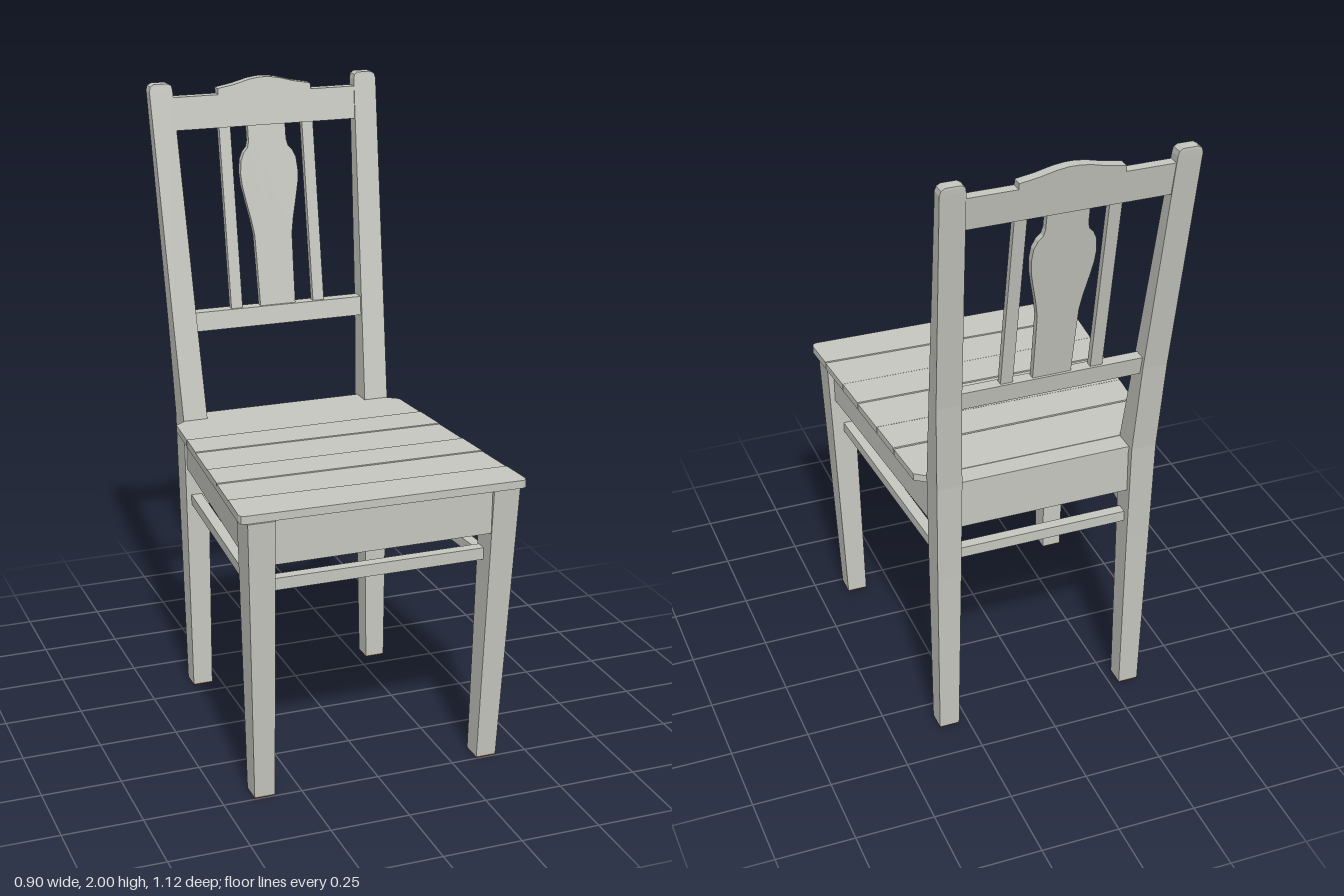
import * as THREE from 'three';

const paint = new THREE.MeshStandardMaterial({ color: 0xc6c6c0 });
paint.name = 'grey paint';
const wood = new THREE.MeshStandardMaterial({ color: 0x84603c });
wood.name = 'bare wood';

export function createModel() {
  const root = new THREE.Group();
  root.name = 'chair';

  function add(name, geometry, material = paint) {
    const mesh = new THREE.Mesh(geometry, material);
    mesh.name = name;
    root.add(mesh);
    return mesh;
  }

  // Four-sided post through sections [y, x0, x1, z0, z1]; side = -1 mirrors it
  function post(sections, side) {
    const loops = sections.map(([y, a, b, z0, z1]) => {
      const x0 = Math.min(a * side, b * side), x1 = Math.max(a * side, b * side);
      return [[x0, y, z0], [x0, y, z1], [x1, y, z1], [x1, y, z0]];
    });
    const pos = [];
    const quad = (a, b, c, d) => pos.push(...a, ...b, ...c, ...a, ...c, ...d);
    for (let s = 0; s < loops.length - 1; s++) {
      const lo = loops[s], hi = loops[s + 1];
      for (let i = 0; i < 4; i++) {
        const j = (i + 1) % 4;
        quad(lo[i], lo[j], hi[j], hi[i]);
      }
    }
    const first = loops[0], last = loops[loops.length - 1];
    quad(first[3], first[2], first[1], first[0]);
    quad(...last);
    const geometry = new THREE.BufferGeometry();
    geometry.setAttribute('position', new THREE.Float32BufferAttribute(pos, 3));
    geometry.computeVertexNormals();
    return geometry;
  }

  // Flat slab with an [x, z] outline between heights y0 and y1
  function slab(points, y0, y1) {
    const shape = new THREE.Shape(points.map(([x, z]) => new THREE.Vector2(x, -z)));
    const geometry = new THREE.ExtrudeGeometry(shape, { depth: y1 - y0, bevelEnabled: false });
    return geometry.rotateX(-Math.PI / 2).translate(0, y0, 0);
  }
  const rect = (w, z0, z1) => [[-w, z0], [w, z0], [w, z1], [-w, z1]];

  // Upright board with an [x, y] outline, leaned back with the posts
  function backBoard(points, thickness) {
    const shape = new THREE.Shape(points.map(([x, y]) => new THREE.Vector2(x, y)));
    const geometry = new THREE.ExtrudeGeometry(shape, { depth: thickness, bevelEnabled: false });
    const p = geometry.attributes.position;
    for (let i = 0; i < p.count; i++) {
      p.setZ(i, p.getZ(i) - thickness / 2 - 0.41 - 0.178 * (p.getY(i) - 1.25));
    }
    geometry.computeVertexNormals();
    return geometry;
  }

  // Legs, side rails and side stretchers
  for (const side of [-1, 1]) {
    const label = side > 0 ? 'left' : 'right';
    add(label + 'FrontLeg', post([
      [0.004, 0.335, 0.40, 0.425, 0.495],
      [0.915, 0.345, 0.43, 0.45, 0.55],
    ], side));
    add(label + 'BackPost', post([
      [0.004, 0.28, 0.345, -0.37, -0.305],
      [0.6, 0.276, 0.352, -0.395, -0.314],
      [0.94, 0.275, 0.355, -0.41, -0.32],
      [1.24, 0.285, 0.364, -0.442, -0.378],
      [1.975, 0.308, 0.384, -0.558, -0.519],
      [1.99, 0.311, 0.38, -0.56, -0.522],
      [1.997, 0.322, 0.368, -0.56, -0.523],
    ], side));
    add(label + 'FrontFoot', post([[0, 0.335, 0.40, 0.425, 0.495], [0.004, 0.335, 0.40, 0.425, 0.495]], side), wood);
    add(label + 'BackFoot', post([[0, 0.28, 0.345, -0.37, -0.305], [0.004, 0.28, 0.345, -0.37, -0.305]], side), wood);

    // Strip running front to back, following the seat taper
    const strip = (outFront, outBack, t) => [
      [side * outFront, 0.46], [side * (outFront - t), 0.46],
      [side * (outBack - t), -0.325], [side * outBack, -0.325],
    ];
    add(label + 'Rail', slab(strip(0.41, 0.347, 0.03), 0.775, 0.915));
    add(label + 'RailInside', slab(strip(0.38, 0.317, 0.003), 0.776, 0.915), wood);
    add(label + 'Stretcher', slab(strip(0.385, 0.335, 0.035), 0.65, 0.683));
  }

  // Front and back rails with unpainted inner faces, and cross stretchers
  add('frontRail', slab(rect(0.36, 0.505, 0.538), 0.775, 0.915));
  add('frontRailInside', slab(rect(0.345, 0.502, 0.505), 0.776, 0.915), wood);
  add('backRail', slab(rect(0.285, -0.385, -0.355), 0.775, 0.915));
  add('backRailInside', slab(rect(0.275, -0.355, -0.352), 0.776, 0.915), wood);
  add('frontStretcher', slab(rect(0.345, 0.455, 0.49), 0.672, 0.71));
  add('backStretcher', slab(rect(0.285, -0.37, -0.335), 0.65, 0.685));

  // Seat planks: slightly uneven seams given as z at the right and left edge
  const halfWidth = z => 0.41 + 0.0747 * z;
  const seams = [[-0.295, -0.295], [-0.143, -0.142], [-0.02, -0.008], [0.135, 0.147],
    [0.263, 0.275], [0.40, 0.425], [0.545, 0.56]];
  const gap = 0.002;
  for (let i = 0; i < 6; i++) {
    const [r0, l0] = seams[i].map(z => z + gap), [r1, l1] = seams[i + 1].map(z => z - gap);
    const outline = [[-halfWidth(r0), r0]];
    if (i === 0) outline.push([-0.352, -0.32], [0.352, -0.32]);
    outline.push([halfWidth(l0), l0]);
    if (i === 5) {
      outline.push([0.45, l1 - 0.018], [0.446, l1 - 0.005], [0.435, l1],
        [-0.435, r1], [-0.446, r1 - 0.005], [-0.45, r1 - 0.018]);
    } else {
      outline.push([halfWidth(l1), l1], [-halfWidth(r1), r1]);
    }
    add('seatPlank' + (i + 1), slab(outline, 0.915, i % 2 ? 0.94 : 0.938));
  }
  add('seatBackStrip', slab(rect(0.28, -0.388, -0.321), 0.915, 0.937));
  add('seatUnderside', slab([[-0.315, -0.354], [0.315, -0.354], [0.378, 0.504], [-0.378, 0.504]], 0.911, 0.915), wood);

  // Backrest: lower rail, crested top rail, slats and shaped splat
  add('lowerBackRail', backBoard([[-0.295, 1.215], [0.295, 1.215], [0.295, 1.275], [-0.295, 1.275]], 0.04));
  const mirrored = half => [...half, ...half.slice().reverse().map(([x, y]) => [-x, y])];
  add('topBackRail', backBoard(mirrored([[0.32, 1.85], [0.32, 1.953], [0.157, 1.953],
    [0.157, 1.972], [0.10, 1.982], [0.05, 1.995], [0.015, 2.0]]), 0.034));
  for (const side of [-1, 1]) {
    const x = side * 0.141;
    add(side > 0 ? 'leftSlat' : 'rightSlat',
      backBoard([[x - 0.019, 1.27], [x + 0.019, 1.27], [x + 0.019, 1.855], [x - 0.019, 1.855]], 0.022));
  }
  add('splat', backBoard(mirrored([[0.06, 1.27], [0.062, 1.4], [0.064, 1.5], [0.072, 1.55], [0.085, 1.61],
    [0.095, 1.66], [0.098, 1.70], [0.094, 1.74], [0.083, 1.765], [0.069, 1.78], [0.064, 1.80], [0.064, 1.855]]), 0.022));

  return root;
}
